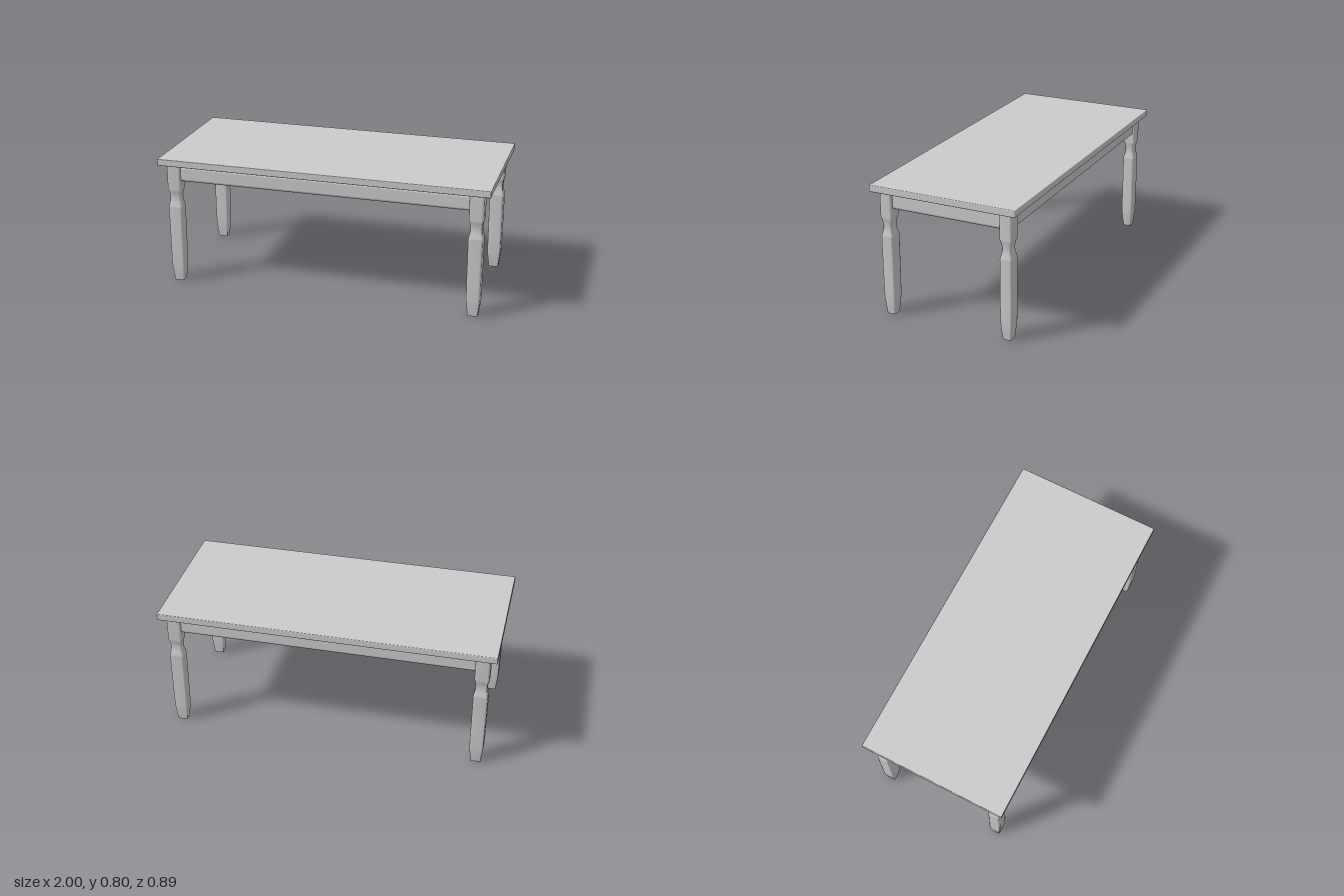
import * as THREE from 'three';
import { RoundedBoxGeometry } from 'three/addons/geometries/RoundedBoxGeometry.js';

const wood = new THREE.MeshStandardMaterial({ color: 0xcccccc });
const openWood = new THREE.MeshStandardMaterial({ color: 0xcccccc, side: THREE.DoubleSide });

// Leg profile: [height, half width in x, half depth in z]
const LEG = [
  [0, 0.030, 0.025], [0.05, 0.036, 0.031], [0.105, 0.041, 0.0355], [0.2, 0.042, 0.0365],
  [0.48, 0.043, 0.037], [0.49, 0.042, 0.036], [0.515, 0.036, 0.028], [0.535, 0.034, 0.0255],
  [0.555, 0.034, 0.0255], [0.58, 0.037, 0.030], [0.6, 0.043, 0.037], [0.76, 0.043, 0.037],
];

// Square section with softened corners, swept up the profile, open at the foot
function legGeometry() {
  const corner = [[1, 0.72], [0.92, 0.92], [0.72, 1]];
  const section = [];
  for (let q = 0; q < 4; q++) {
    for (const [a, b] of corner) {
      let p = [a, b];
      for (let i = 0; i < q; i++) p = [-p[1], p[0]];
      section.push(p);
    }
  }
  const n = section.length, positions = [], index = [];
  LEG.forEach(([y, hx, hz], r) => {
    section.forEach(([a, b], i) => {
      positions.push(a * hx, y, b * hz);
      if (r === 0) return;
      const j = (i + 1) % n, lo = (r - 1) * n, hi = r * n;
      index.push(lo + i, hi + i, hi + j, lo + i, hi + j, lo + j);
    });
  });
  const g = new THREE.BufferGeometry();
  g.setAttribute('position', new THREE.Float32BufferAttribute(positions, 3));
  g.setIndex(index);
  g.computeVertexNormals();
  return g;
}

export function createModel() {
  const group = new THREE.Group();
  const add = (name, geometry, x, y, z, material = wood) => {
    const mesh = new THREE.Mesh(geometry, material);
    mesh.name = name;
    mesh.position.set(x, y, z);
    group.add(mesh);
  };

  // Top board with slightly eased edges
  add('tableTop', new RoundedBoxGeometry(2, 0.041, 0.895, 2, 0.005), 0, 0.7775, 0);

  // Four shaped legs
  const legX = 0.917, legZ = 0.371, leg = legGeometry();
  for (const sx of [1, -1]) {
    for (const sz of [1, -1]) {
      add(`${sz > 0 ? 'front' : 'back'}${sx > 0 ? 'Left' : 'Right'}Leg`, leg, sx * legX, 0, sz * legZ, openWood);
    }
  }

  // Softly rounded rails running between the legs
  const longRail = new RoundedBoxGeometry(2 * legX - 0.04, 0.1, 0.05, 4, 0.02);
  const shortRail = new RoundedBoxGeometry(0.05, 0.1, 2 * legZ - 0.03, 4, 0.02);
  for (const s of [1, -1]) {
    add(s > 0 ? 'frontRail' : 'backRail', longRail, 0, 0.699, s * legZ);
    add(s > 0 ? 'leftRail' : 'rightRail', shortRail, s * legX, 0.699, 0);
  }
  return group;
}
